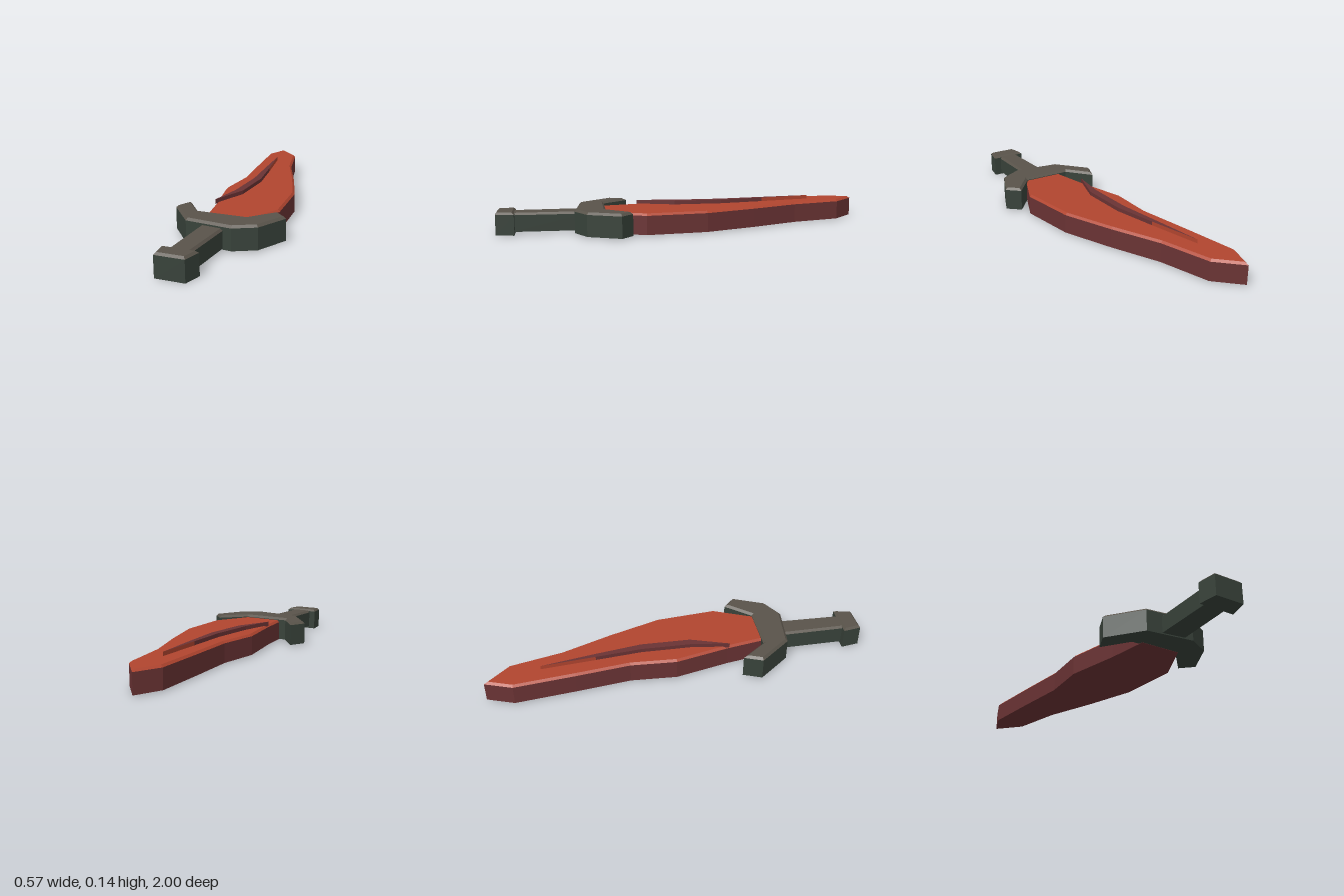
import * as THREE from 'three';

const paint = (name, color) => {
  const m = new THREE.MeshStandardMaterial({ color });
  m.name = name;
  return m;
};

// Move every corner of a counter-clockwise outline inwards by w
function inset(pts, w) {
  const n = pts.length;
  const normal = (a, b) => new THREE.Vector2(a.y - b.y, b.x - a.x).normalize();
  return pts.map((p, i) => {
    const n1 = normal(pts[(i + n - 1) % n], p);
    const n2 = normal(p, pts[(i + 1) % n]);
    const k = w / (1 + n1.dot(n2));
    return p.clone().add(n1.add(n2).multiplyScalar(k));
  });
}

// Flat slab from an [x, z] outline, with a chamfered upper rim.
// Group 0 is the walls and underside, group 1 the chamfer and top.
function slab(name, outline, y0, y1, bevel, sideMat, topMat) {
  let pts = outline.map(([x, z]) => new THREE.Vector2(x, -z));
  if (THREE.ShapeUtils.area(pts) < 0) pts.reverse();
  const rim = bevel ? inset(pts, bevel) : pts;
  const pos = [];
  const put = (p, y) => pos.push(p.x, y, -p.y);
  const band = (lo, ya, hi, yb) => lo.forEach((a, i) => {
    const j = (i + 1) % lo.length;
    put(a, ya); put(lo[j], ya); put(hi[j], yb);
    put(a, ya); put(hi[j], yb); put(hi[i], yb);
  });
  const faces = THREE.ShapeUtils.triangulateShape(pts, []);

  band(pts, y0, pts, y1 - bevel);
  faces.forEach(([a, b, c]) => { put(pts[a], y0); put(pts[c], y0); put(pts[b], y0); });
  const split = pos.length / 3;
  if (bevel) band(pts, y1 - bevel, rim, y1);
  faces.forEach(([a, b, c]) => { put(rim[a], y1); put(rim[b], y1); put(rim[c], y1); });

  const geo = new THREE.BufferGeometry();
  geo.setAttribute('position', new THREE.Float32BufferAttribute(pos, 3));
  geo.addGroup(0, split, 0);
  geo.addGroup(split, pos.length / 3 - split, 1);
  geo.computeVertexNormals();
  const mesh = new THREE.Mesh(geo, [sideMat, topMat]);
  mesh.name = name;
  return mesh;
}

export function createModel() {
  const bladeTop = paint('blade orange red', 0xb1452f);
  const bladeSide = paint('blade dark red', 0x6a3334);
  const hiltTop = paint('hilt grey brown', 0x59534a);
  const hiltSide = paint('hilt dark green', 0x38423a);

  const group = new THREE.Group();
  group.name = 'sword';

  // Curved blade, its root tucked into the guard
  group.add(slab('blade', [
    [-0.23, -1], [-0.11, -0.88], [-0.04, -0.61], [0.07, -0.35], [0.17, -0.08],
    [0.205, 0.24], [0.11, 0.46], [-0.1, 0.46], [-0.14, 0.25], [-0.21, -0.03],
    [-0.2, -0.27], [-0.24, -0.55], [-0.28, -0.86],
  ], 0.005, 0.115, 0.011, bladeSide, bladeTop));

  // Raised ridge along the blade: pale thin tail, dark body
  group.add(slab('ridgeTail', [
    [-0.17, -0.72], [-0.115, -0.44], [-0.14, -0.44],
  ], 0.11, 0.135, 0, bladeTop, bladeSide));
  group.add(slab('ridge', [
    [-0.14, -0.44], [-0.115, -0.44], [-0.073, -0.2], [-0.073, 0.06],
    [-0.14, 0.26], [-0.113, 0.06], [-0.113, -0.2],
  ], 0.11, 0.135, 0, bladeSide, bladeSide));

  // Crossguard with two forward horns
  group.add(slab('guard', [
    [-0.288, 0.405], [-0.25, 0.31], [-0.145, 0.44], [0.11, 0.44], [0.22, 0.31],
    [0.286, 0.37], [0.21, 0.54], [0.1, 0.6], [-0.148, 0.572],
  ], 0.006, 0.13, 0.012, hiltSide, hiltTop));

  // Grip and pommel
  group.add(slab('grip', [
    [-0.067, 0.55], [0.055, 0.55], [0.05, 0.92], [-0.06, 0.92],
  ], 0.012, 0.11, 0.011, hiltSide, hiltTop));
  group.add(slab('pommel', [
    [-0.096, 0.905], [0.09, 0.905], [0.07, 1], [-0.08, 1],
  ], 0, 0.118, 0.011, hiltSide, hiltTop));

  return group;
}
